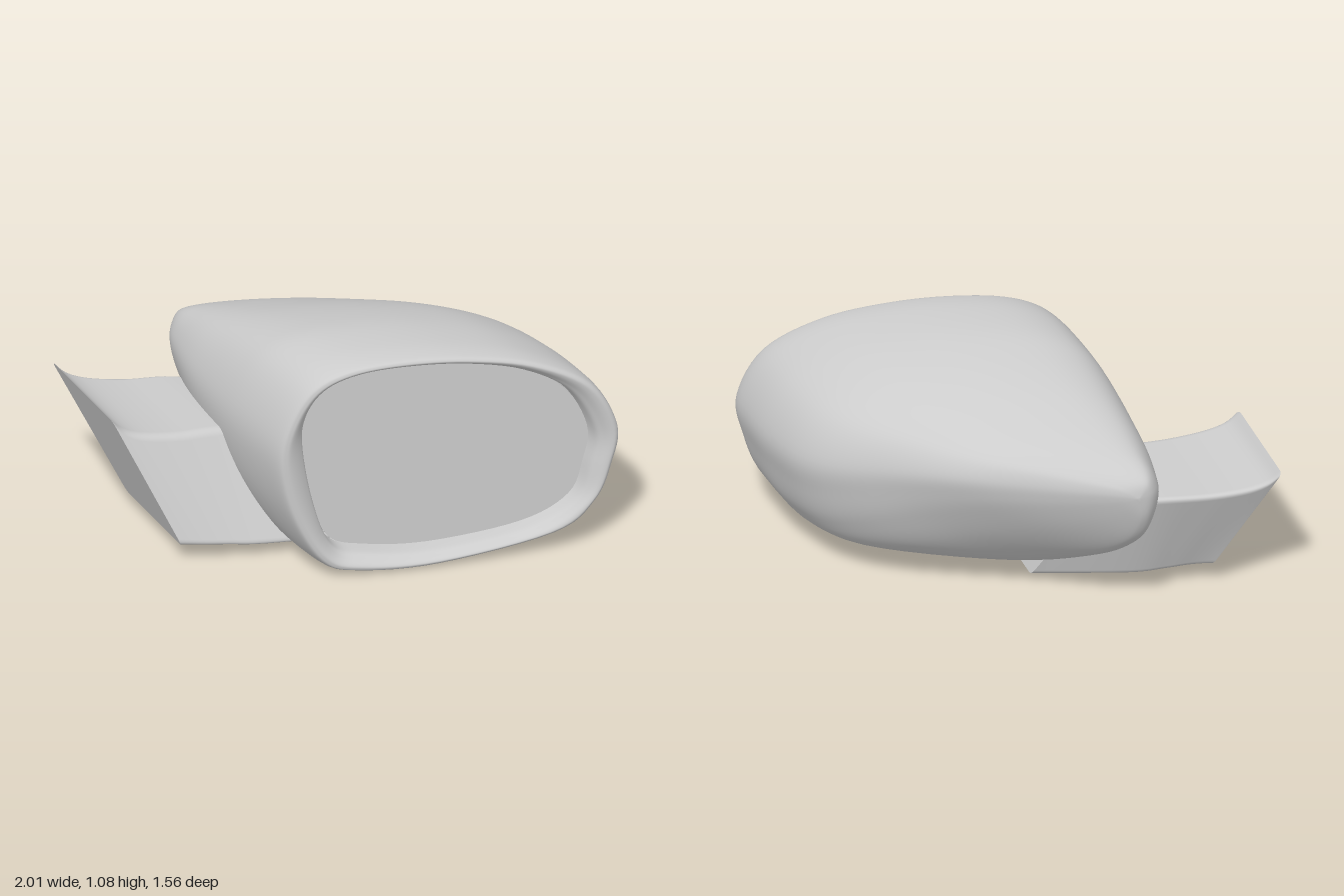
import * as THREE from 'three';
import { mergeVertices } from 'three/addons/utils/BufferGeometryUtils.js';

const N = 96;
const V = (x, y, z) => new THREE.Vector3(x, y, z);

// Outlines in a unit box, running left, top, right, bottom
const outline = (pts) => {
  const curve = new THREE.CatmullRomCurve3(pts.map(([u, v]) => V(u, v, 0)), true, 'catmullrom', 0.5);
  return Array.from({ length: N }, (_, i) => curve.getPoint(i / N));
};
const frontShape = outline([
  [0, .555], [.023, .74], [.09, .9], [.195, .977], [.355, 1], [.55, .983], [.75, .921], [.921, .786],
  [1, .572], [.983, .395], [.934, .223], [.815, .088], [.47, .003], [.228, .014], [.122, .08], [.036, .305]]);
const backShape = outline([
  [0, .6], [.03, .78], [.1, .92], [.2, .985], [.36, 1], [.55, .985], [.75, .94], [.92, .87],
  [1, .74], [.96, .6], [.86, .46], [.65, .25], [.38, .04], [.25, 0], [.13, .08], [.04, .33]]);
const glassShape = outline([
  [0, .65], [.02, .82], [.085, .935], [.2, .99], [.36, 1], [.55, .98], [.75, .915], [.915, .775],
  [1, .55], [.985, .37], [.935, .19], [.77, .065], [.45, 0], [.22, .02], [.1, .085], [.035, .33]]);

// Skin over a list of closed loops
function loft(rows) {
  const n = rows[0].length, pos = [], index = [];
  rows.forEach((r) => r.forEach((p) => pos.push(p.x, p.y, p.z)));
  for (let i = 0; i < rows.length - 1; i++) {
    for (let j = 0; j < n; j++) {
      const k = (j + 1) % n;
      const a = i * n + j, b = i * n + k, c = a + n, d = b + n;
      index.push(a, c, b, b, c, d);
    }
  }
  let g = new THREE.BufferGeometry();
  g.setAttribute('position', new THREE.Float32BufferAttribute(pos, 3));
  g.setIndex(index);
  g = mergeVertices(g, 1e-5);
  g.computeVertexNormals();
  return g;
}

// Smooth interpolation through rows of numbers
function smoothRows(rows, steps) {
  const out = [], at = (i) => rows[Math.max(0, Math.min(rows.length - 1, i))];
  for (let i = 0; i < rows.length - 1; i++) {
    for (let s = 0; s < steps; s++) {
      const t = s / steps;
      out.push(rows[i].map((b, k) => {
        const a = at(i - 1)[k], c = at(i + 1)[k], d = at(i + 2)[k];
        return b + 0.5 * t * (c - a + t * (2 * a - 5 * b + 4 * c - d + t * (3 * (b - c) + d - a)));
      }));
    }
  }
  out.push(rows[rows.length - 1]);
  return out;
}

// Section: xMin, zAtMin, xMax, zAtMax, yMin, yMax, back blend, glass blend
function sectionLoop([x0, z0, x1, z1, y0, y1, back, glass]) {
  return frontShape.map((f, i) => {
    const p = f.clone().lerp(backShape[i], back).lerp(glassShape[i], glass);
    return V(x0 + (x1 - x0) * p.x, y0 + (y1 - y0) * p.y, z0 + (z1 - z0) * p.x);
  });
}

// Four-cornered loop with rounded corners
function roundQuad(c, r) {
  const pts = [];
  c.forEach((p, i) => {
    const a = p.clone().lerp(c[(i + 3) % 4], r), b = p.clone().lerp(c[(i + 1) % 4], r);
    pts.push(...new THREE.QuadraticBezierCurve3(a, p, b).getPoints(6));
  });
  return pts;
}

function centreOf(loop) {
  const m = V(0, 0, 0);
  loop.forEach((p) => m.addScaledVector(p, 1 / loop.length));
  return loop.map(() => m.clone());
}

export function createModel() {
  const group = new THREE.Group();
  const material = new THREE.MeshStandardMaterial({ color: 0xcccccc, side: THREE.DoubleSide });
  const add = (name, geometry) => {
    const mesh = new THREE.Mesh(geometry, material);
    mesh.name = name;
    group.add(mesh);
  };

  // Housing: from the rear tip to the rolled rim, then into the recess
  const sections = [
    [-.33, -.78, -.33, -.78, .69, .69, 1, 0],
    [-.395, -.768, -.23, -.745, .575, .755, 1, 0],
    [-.443, -.71, 0, -.625, .44, .81, 1, 0],
    [-.472, -.60, .30, -.45, .32, .865, .92, 0],
    [-.497, -.45, .56, -.24, .21, .925, .6, 0],
    [-.51, -.28, .785, -.03, .11, .985, .27, 0],
    [-.515, -.10, .91, .17, .045, 1.035, .08, 0],
    [-.51, .05, .975, .43, .01, 1.07, 0, 0],
    [-.492, .25, .998, .66, .002, 1.08, 0, 0],
    [-.472, .385, .998, .755, .012, 1.07, 0, 0],
    [-.445, .415, .98, .78, .027, 1.055, 0, .1],
    [-.41, .415, .956, .773, .042, 1.04, 0, .4],
    [-.37, .395, .932, .75, .055, 1.026, 0, .75],
    [-.345, .365, .91, .72, .066, 1.015, 0, 1],
    [-.335, .29, .90, .66, .07, 1.01, 0, 1],
  ];
  add('housing', loft(smoothRows(sections, 5).map(sectionLoop)));

  // Reflecting glass set inside the recess, with a thin edge
  const edge = sectionLoop([-.331, .29, .896, .66, .074, 1.006, 0, 1]);
  const face = sectionLoop([-.331, .30, .896, .67, .074, 1.006, 0, 1]);
  add('glassEdge', loft([edge, face]));
  add('glass', loft([face, centreOf(face)]));

  // Mounting arm: top x, y, zBack, zFront then bottom x, y, zBack, zFront
  const stations = [
    [-1, .675, -.75, -.165, -.775, .10, -.47, .06],
    [-.95, .625, -.73, -.15, -.73, .096, -.45, .075],
    [-.86, .588, -.702, -.13, -.67, .09, -.43, .095],
    [-.70, .562, -.655, -.105, -.57, .08, -.41, .125],
    [-.48, .55, -.59, -.075, -.42, .066, -.37, .17],
    [-.22, .50, -.45, 0, -.03, .045, -.2, .25],
  ];
  const armLoops = smoothRows(stations, 5).map(([tx, ty, tb, tf, bx, by, bb, bf]) =>
    roundQuad([V(tx, ty, tf), V(tx, ty, tb), V(bx, by, bb), V(bx, by, bf)], .06));
  add('mountingArm', loft(armLoops));
  add('mountingFace', loft([centreOf(armLoops[0]), armLoops[0]]));
  const inner = armLoops[armLoops.length - 1];
  add('armInnerEnd', loft([inner, centreOf(inner)]));

  return group;
}
